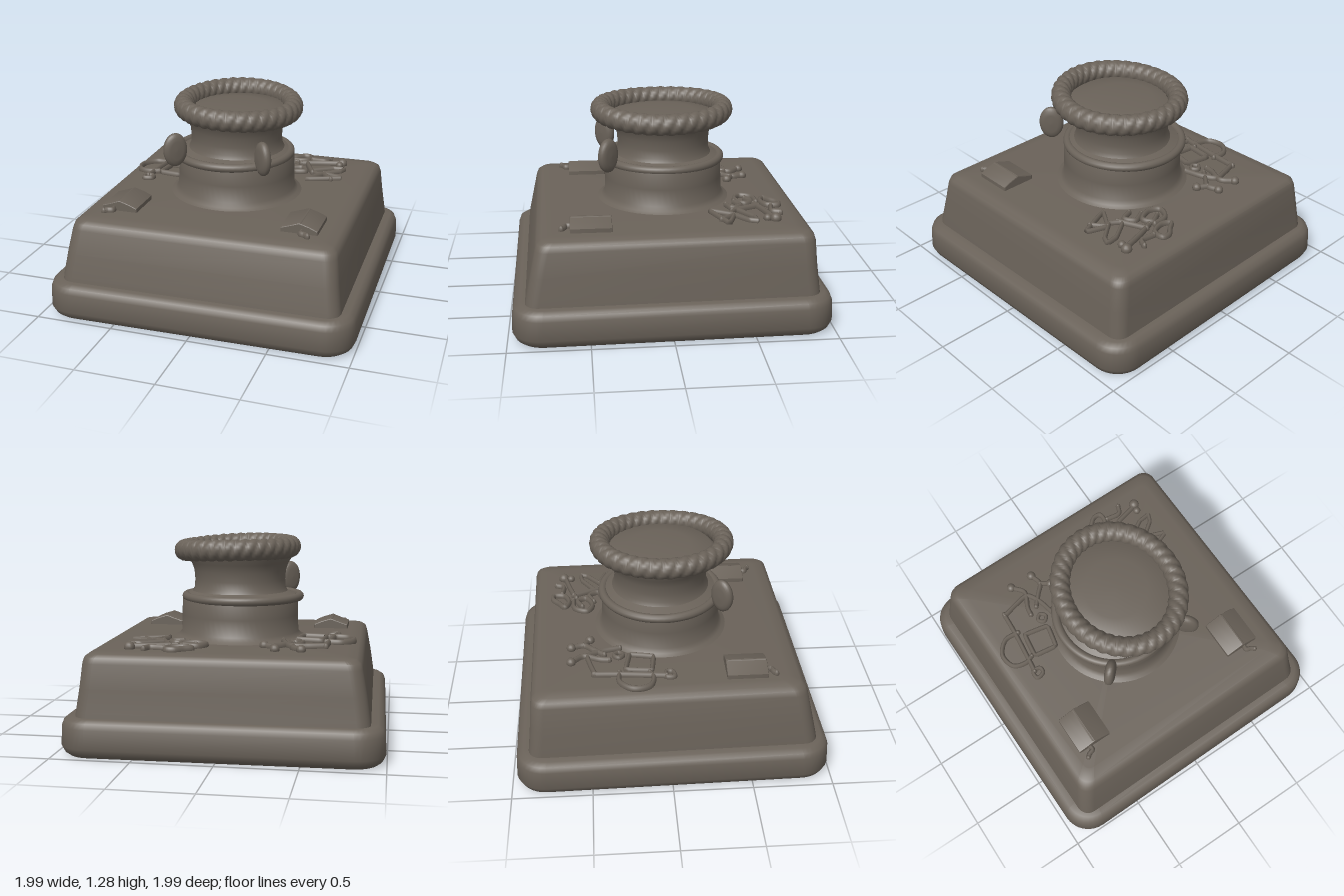
import * as THREE from 'three';
import { toCreasedNormals } from 'three/addons/utils/BufferGeometryUtils.js';

// Indexed geometry from position and index lists
function meshData(pos, idx) {
  const g = new THREE.BufferGeometry();
  g.setAttribute('position', new THREE.Float32BufferAttribute(pos, 3));
  g.setIndex(idx);
  g.computeVertexNormals();
  return g;
}

// Stack of rounded rectangles, sections: [y, halfX, halfZ, cornerRadius, centreX, centreZ]
function loftSquare(sections) {
  const per = 9, n = per * 4, pos = [], idx = [];
  for (const [y, hx, hz, r, cx = 0, cz = 0] of sections) {
    for (let i = 0; i < n; i++) {
      const q = Math.floor(i / per);
      const a = (q + (i % per) / (per - 1)) * Math.PI / 2;
      const sx = q === 0 || q === 3 ? 1 : -1, sz = q < 2 ? 1 : -1;
      pos.push(cx + sx * (hx - r) + r * Math.cos(a), y, cz + sz * (hz - r) + r * Math.sin(a));
    }
  }
  const last = sections.length - 1;
  for (let s = 0; s < last; s++) {
    for (let i = 0; i < n; i++) {
      const a = s * n + i, b = s * n + (i + 1) % n;
      idx.push(a, a + n, b, b, a + n, b + n);
    }
  }
  const c = pos.length / 3;
  pos.push(0, sections[0][0], 0, 0, sections[last][0], 0);
  for (let i = 0; i < n; i++) {
    const j = (i + 1) % n;
    idx.push(c, i, j, c + 1, last * n + j, last * n + i);
  }
  return toCreasedNormals(meshData(pos, idx), 0.7);
}

// Closed twisted rope following a slightly tilted ellipse
function ropeRing(rx, rz, thick, ridges) {
  const nu = 360, nv = 20, pos = [], idx = [];
  for (let i = 0; i < nu; i++) {
    const u = i / nu * Math.PI * 2;
    for (let j = 0; j < nv; j++) {
      const v = j / nv * Math.PI * 2;
      const r = thick * (0.82 + 0.2 * Math.sqrt(Math.abs(Math.cos(ridges / 2 * u - 1.5 * v))));
      const x = Math.sin(u) * (rx + r * Math.cos(v)), z = Math.cos(u) * (rz + r * Math.cos(v));
      pos.push(x, r * Math.sin(v) * 1.05 - 0.03 * x + 0.07 * z * z, z);
      const a = i * nv + j, b = i * nv + (j + 1) % nv;
      const c = ((i + 1) % nu) * nv + j, d = ((i + 1) % nu) * nv + (j + 1) % nv;
      idx.push(a, c, b, c, d, b);
    }
  }
  return meshData(pos, idx);
}

export function createModel() {
  const group = new THREE.Group();
  const stone = new THREE.MeshStandardMaterial({ color: 0x6a6259 });
  stone.name = 'dark stone';
  const add = (name, geo, x = 0, y = 0, z = 0, parent = group) => {
    const m = new THREE.Mesh(geo, stone);
    m.name = name;
    m.position.set(x, y, z);
    parent.add(m);
    return m;
  };

  // Stepped plinth, turned very slightly
  const foot = add('plinthFoot', loftSquare([
    [0.01, 0.94, 0.94, 0.15], [0.03, 0.965, 0.965, 0.17], [0.07, 0.983, 0.983, 0.18],
    [0.19, 0.978, 0.978, 0.18], [0.225, 0.965, 0.965, 0.17], [0.245, 0.935, 0.935, 0.15],
    [0.24, 0.85, 0.85, 0.08],
  ]));
  const block = add('plinthBlock', loftSquare([
    [0.2, 0.895, 0.905, 0.08], [0.27, 0.888, 0.896, 0.08], [0.42, 0.866, 0.872, 0.08, 0, -0.008],
    [0.57, 0.843, 0.85, 0.08, 0.005, -0.018], [0.605, 0.832, 0.838, 0.08, 0.005, -0.02],
    [0.625, 0.805, 0.81, 0.07, 0.005, -0.02], [0.633, 0.74, 0.74, 0.05, 0.005, -0.02],
  ]));
  foot.rotation.y = block.rotation.y = 0.015;

  // Collar, waisted neck and shallow domed top
  const profile = [
    [0.45, 0.625], [0.41, 0.645], [0.388, 0.67], [0.385, 0.78], [0.382, 0.88], [0.368, 0.915],
    [0.315, 0.935], [0.302, 0.96], [0.298, 1.01], [0.303, 1.07], [0.32, 1.12], [0.345, 1.16],
    [0.352, 1.185], [0.33, 1.2], [0.2, 1.215], [0, 1.222],
  ].map(([r, y]) => new THREE.Vector2(r, y));
  add('neck', toCreasedNormals(new THREE.LatheGeometry(profile, 64), 0.7), -0.005, 0, -0.018);
  const ledge = add('shoulderRing', new THREE.TorusGeometry(0.375, 0.028, 12, 64), -0.025, 0.9, -0.02);
  ledge.rotation.x = Math.PI / 2;

  // Rope crown
  add('ropeRing', ropeRing(0.352, 0.398, 0.064, 36), 0.012, 1.212, -0.008);

  // Pair of rounded fin discs standing off the front of the neck
  const discProfile = [[0, -0.034], [0.06, -0.032], [0.085, -0.026], [0.105, -0.016], [0.11, 0],
    [0.105, 0.016], [0.085, 0.026], [0.06, 0.032], [0, 0.034]].map(([r, y]) => new THREE.Vector2(r, y));
  for (const side of [-1, 1]) {
    const fin = new THREE.Group();
    fin.name = side < 0 ? 'rightFin' : 'leftFin';
    fin.position.set(side * 0.29 - 0.007, 0.99, 0.355);
    fin.rotation.y = -side * Math.PI / 4;
    group.add(fin);
    const disc = add('finDisc', new THREE.LatheGeometry(discProfile, 32), 0, 0, 0, fin);
    disc.rotation.x = Math.PI / 2;
    disc.scale.x = 0.72;
  }

  // Raised strokes on the top face, points given as [x, z]
  const stroke = (name, pts, closed = false, r = 0.016, straight = false) => {
    const v = pts.map(([x, z]) => new THREE.Vector3(x, 0, z));
    const curve = new THREE.CatmullRomCurve3(v, closed, 'catmullrom', straight ? 0.05 : 0.5);
    const m = add(name, new THREE.TubeGeometry(curve, pts.length * 8, r, 8, closed), 0, 0.64, 0);
    m.scale.y = 1.6;
    if (!closed) for (const p of [pts[0], pts[pts.length - 1]]) {
      add(name + 'End', new THREE.SphereGeometry(r * 1.05, 10, 8), p[0], 0.64, p[1]).scale.y = 1.6;
    }
  };
  const knob = (x, z, r = 0.03) => {
    add('reliefKnob', new THREE.SphereGeometry(r, 14, 10), x, 0.645, z);
  };

  // Hinged tent-shaped plates with a hooked tail
  const tent = new THREE.Shape([[-0.11, -0.02], [0.11, -0.02], [0.11, 0.02], [0.065, 0.04],
    [0, 0.06], [-0.055, 0.04], [-0.11, 0.022]].map(([x, y]) => new THREE.Vector2(x, y)));
  for (const side of [-1, 1]) {
    const g = new THREE.ExtrudeGeometry(tent, { depth: 0.24, bevelEnabled: true, bevelSize: 0.006, bevelThickness: 0.008, bevelSegments: 2 });
    add(side < 0 ? 'rightPlate' : 'leftPlate', toCreasedNormals(g, 0.5), side * 0.585, 0.635, 0.36);
    const x = side < 0 ? -0.63 : 0.61;
    stroke('plateHook', [[x, 0.58], [x - 0.01, 0.63], [x + 0.02, 0.645], [x + 0.04, 0.66]]
      .map(([px, pz]) => side < 0 ? [2 * x - px, pz] : [px, pz]));
    const ridge = add('plateRidge', new THREE.CylinderGeometry(0.012, 0.012, 0.24, 10), side * 0.59, 0.689, 0.48);
    ridge.rotation.x = Math.PI / 2;
  }

  // Scrollwork behind the neck on the right
  stroke('rightScrollLoop', [[-0.6, -0.31], [-0.7, -0.31], [-0.77, -0.23], [-0.75, -0.13], [-0.67, -0.1], [-0.61, -0.12]]);
  stroke('rightScrollStem', [[-0.61, -0.47], [-0.62, -0.3], [-0.65, -0.02]]);
  stroke('rightScrollRing', [[-0.66, -0.02], [-0.61, -0.02], [-0.61, 0.02], [-0.66, 0.03]], true, 0.014);
  stroke('rightScrollFrame', [[-0.57, -0.27], [-0.41, -0.24], [-0.44, -0.09], [-0.59, -0.11]], true, 0.016, true);
  stroke('rightScrollBar', [[-0.61, -0.46], [-0.5, -0.49], [-0.41, -0.5], [-0.36, -0.42], [-0.33, -0.3]]);
  stroke('rightScrollBone', [[-0.46, -0.6], [-0.41, -0.53], [-0.45, -0.43], [-0.46, -0.37]]);
  stroke('rightScrollBranch', [[-0.31, -0.61], [-0.29, -0.53], [-0.34, -0.47], [-0.4, -0.4]]);
  stroke('rightScrollTwig', [[-0.29, -0.53], [-0.23, -0.49]]);
  stroke('rightScrollEye', [[-0.44, -0.31], [-0.41, -0.34], [-0.38, -0.31], [-0.41, -0.28]], true, 0.013);
  for (const [x, z] of [[-0.47, -0.61], [-0.31, -0.61], [-0.23, -0.49]]) knob(x, z);

  // Scrollwork behind the neck on the left
  stroke('leftScrollHead', [[0.29, -0.74], [0.34, -0.73], [0.33, -0.66], [0.25, -0.63], [0.19, -0.66], [0.24, -0.7]], true);
  stroke('leftScrollSwirl', [[0.27, -0.6], [0.17, -0.59], [0.13, -0.51], [0.2, -0.47], [0.29, -0.51],
    [0.26, -0.57], [0.19, -0.54]]);
  stroke('leftScrollTail', [[0.25, -0.46], [0.33, -0.49], [0.37, -0.43], [0.3, -0.4]]);
  stroke('leftScrollBone', [[0.3, -0.58], [0.42, -0.62], [0.58, -0.66]]);
  stroke('leftScrollHook', [[0.36, -0.68], [0.45, -0.67], [0.48, -0.72]]);
  stroke('leftScrollStem', [[0.34, -0.6], [0.37, -0.53], [0.42, -0.42]]);
  stroke('leftScrollWedge', [[0.4, -0.45], [0.54, -0.54], [0.62, -0.55], [0.6, -0.5], [0.47, -0.4]], true, 0.014, true);
  stroke('leftScrollTriangle', [[0.41, -0.28], [0.5, -0.42], [0.64, -0.37]], true, 0.014, true);
  stroke('leftScrollCross', [[0.5, -0.42], [0.57, -0.33]], false, 0.014);
  knob(0.58, -0.67, 0.035);
  knob(0.57, -0.62, 0.026);
  return group;
}
